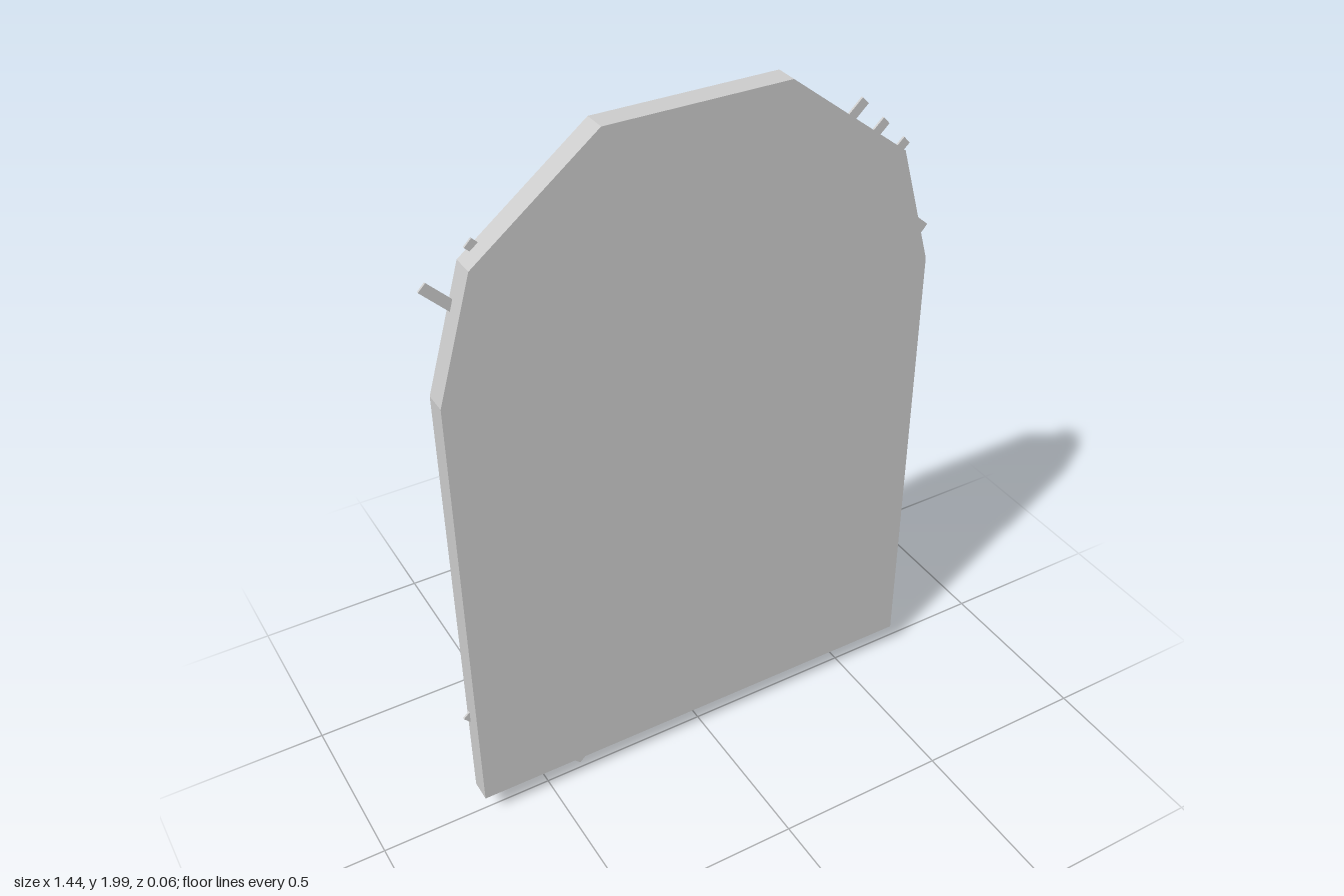
import * as THREE from 'three';

const material = new THREE.MeshStandardMaterial({ color: 0xcccccc, flatShading: true });

export function createModel() {
  const group = new THREE.Group();
  group.name = 'archedPanel';

  // Panel: flat slab with a faceted arched top
  const outline = [
    [-0.705, 0.08], [0.683, 0.08], [0.683, 1.4], [0.585, 1.735],
    [0.24, 2], [-0.265, 2], [-0.605, 1.735], [-0.705, 1.4],
  ].map(([x, y]) => new THREE.Vector2(x, y));
  const panelGeometry = new THREE.ExtrudeGeometry(new THREE.Shape(outline), { depth: 0.064, bevelEnabled: false });
  panelGeometry.translate(0, 0, -0.032);
  const panel = new THREE.Mesh(panelGeometry, material);
  panel.name = 'panel';
  group.add(panel);

  // Slivers: thin strips poking out of the rim; [tip x, tip y, outward angle in degrees]
  const slivers = [
    [-0.7, 1.697, 135], [-0.582, 1.777, 135],
    [0.487, 1.873, 43], [0.556, 1.804, 43], [0.625, 1.735, 43],
    [0.708, 1.46, -41],
    [-0.714, 0.35, 222], [-0.622, 0.067, 222], [-0.397, 0.016, 225],
    [-0.465, 0.084, 225], [0.09, 0.084, 225],
  ];
  const length = 0.13;
  const sliverGeometry = new THREE.BoxGeometry(length, 0.027, 0.006);
  sliverGeometry.translate(-length / 2, 0, 0); // origin at the tip
  slivers.forEach(([x, y, degrees], i) => {
    const sliver = new THREE.Mesh(sliverGeometry, material);
    sliver.name = `sliver${i + 1}`;
    sliver.position.set(x, y, -0.019);
    sliver.rotation.z = THREE.MathUtils.degToRad(degrees);
    group.add(sliver);
  });

  return group;
}
